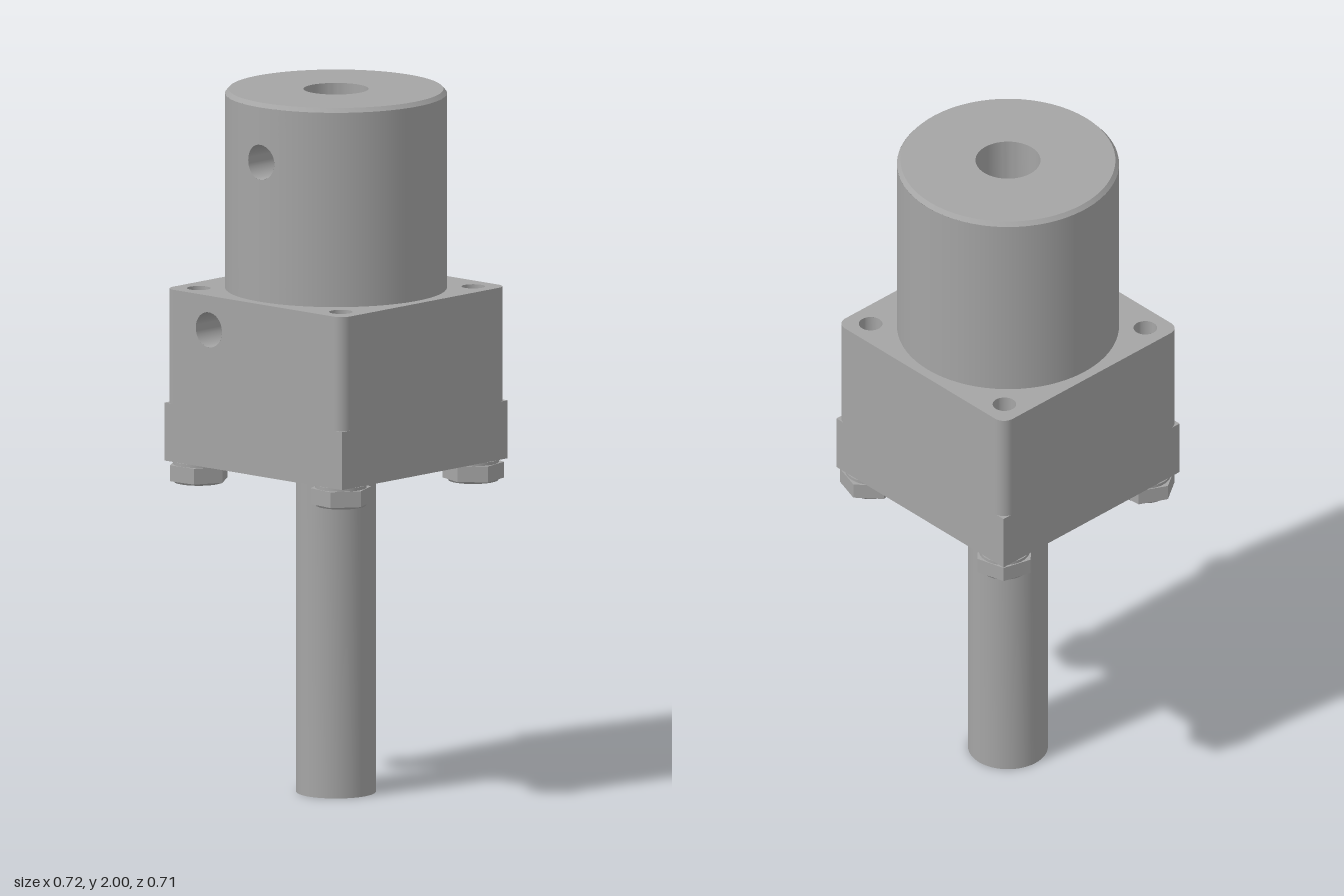
import * as THREE from 'three';
import { toCreasedNormals } from 'three/addons/utils/BufferGeometryUtils.js';

const steel = new THREE.MeshStandardMaterial({ color: 0xa5a5a5, side: THREE.DoubleSide });
steel.name = 'steel grey';

const HALF = 0.34, ROUND = 0.035;            // block half width, upper corner radius
const Y_BASE = 0.945, Y_STEP = 1.11, Y_BLOCK = 1.435, Y_RIM = 1.988, Y_TOP = 2;
const R_HOUSING = 0.311, BOLT = 0.272;

function part(name, geometry, parent) {
  const mesh = new THREE.Mesh(geometry, steel);
  mesh.name = name;
  parent.add(mesh);
  return mesh;
}

function lathe(points, segments = 48) {
  const g = new THREE.LatheGeometry(points.map(([x, y]) => new THREE.Vector2(x, y)), segments);
  return toCreasedNormals(g, 0.5);
}

// Blind bore, open at y = 0 and sunk downwards
const bore = (r, depth) => lathe([[r, 0], [r, -depth], [0, -depth]], 32);

function circle(x, y, r) {
  return new THREE.Path().absarc(x, y, r, 0, Math.PI * 2, true);
}

// Curved wall patch around a round side hole: rings from the hole to a rectangle
function wallPatch(R, angle, y0, y1, holeY, holeR) {
  const N = 64, M = 8, pos = [], nor = [], idx = [];
  for (let j = 0; j <= M; j++) {
    for (let i = 0; i <= N; i++) {
      const a = (i / N) * Math.PI * 2, c = Math.cos(a), s = Math.sin(a);
      const m = Math.max(Math.abs(c), Math.abs(s)), t = j / M;
      const th = THREE.MathUtils.lerp(Math.asin(holeR * c / R), angle * c / m, t);
      const edgeY = (y0 + y1) / 2 + (s / m) * (y1 - y0) / 2;
      pos.push(R * Math.sin(th), THREE.MathUtils.lerp(holeY + holeR * s, edgeY, t), R * Math.cos(th));
      nor.push(Math.sin(th), 0, Math.cos(th));
      if (i < N && j < M) {
        const k = j * (N + 1) + i, n = k + N + 1;
        idx.push(k, n, k + 1, k + 1, n, n + 1);
      }
    }
  }
  const g = new THREE.BufferGeometry();
  g.setAttribute('position', new THREE.Float32BufferAttribute(pos, 3));
  g.setAttribute('normal', new THREE.Float32BufferAttribute(nor, 3));
  g.setIndex(idx);
  return g;
}

function buildHousing() {
  const group = new THREE.Group();
  group.name = 'cylindricalHousing';
  const angle = 0.4, holeY = 1.832, holeR = 0.05, h = Y_RIM - Y_BLOCK;
  // Side wall, with a gap at the front filled by the pierced patch
  const wall = new THREE.CylinderGeometry(R_HOUSING, R_HOUSING, h, 64, 1, true, angle, Math.PI * 2 - 2 * angle);
  part('housingWall', wall, group).position.y = Y_BLOCK + h / 2;
  part('housingFrontWall', wallPatch(R_HOUSING, angle, Y_BLOCK, Y_RIM, holeY, holeR), group);
  // Bevelled rim, top face and central bore
  part('housingTop', lathe([[R_HOUSING, Y_RIM], [R_HOUSING - 0.01, Y_TOP], [0.091, Y_TOP],
    [0.091, 1.6], [0, 1.6]], 64), group);
  // Side hole, its mouth following the curved wall
  const g = bore(holeR, 0.22).rotateX(Math.PI / 2);
  const p = g.attributes.position;
  for (let i = 0; i < p.count; i++) {
    if (p.getZ(i) > -0.01) p.setZ(i, Math.sqrt(R_HOUSING ** 2 - p.getX(i) ** 2) - R_HOUSING);
  }
  part('housingSideHole', g, group).position.set(0, holeY, R_HOUSING);
  return group;
}

function buildBlock() {
  const group = new THREE.Group();
  group.name = 'squareBlock';
  const inner = HALF - ROUND;
  // Four side faces: full width below the step, narrower between rounded corners above
  for (let k = 0; k < 4; k++) {
    const s = new THREE.Shape([[-HALF, Y_BASE], [HALF, Y_BASE], [HALF, Y_STEP], [inner, Y_STEP],
      [inner, Y_BLOCK], [-inner, Y_BLOCK], [-inner, Y_STEP], [-HALF, Y_STEP]]
      .map(([x, y]) => new THREE.Vector2(x, y)));
    if (k === 0) s.holes.push(circle(-0.17, 1.338, 0.05));
    const g = new THREE.ShapeGeometry(s, 32).translate(0, 0, HALF).rotateY(k * Math.PI / 2);
    part('blockSide', g, group);
    const corner = new THREE.CylinderGeometry(ROUND, ROUND, Y_BLOCK - Y_STEP, 10, 1, true, 0, Math.PI / 2)
      .translate(inner, (Y_BLOCK + Y_STEP) / 2, inner).rotateY(k * Math.PI / 2);
    part('roundedCorner', corner, group);
  }
  part('frontPort', bore(0.05, 0.2).rotateX(Math.PI / 2), group).position.set(-0.17, 1.338, HALF);

  // Top face with four screw holes
  const top = new THREE.Shape();
  top.absarc(inner, inner, ROUND, 0, Math.PI / 2);
  top.absarc(-inner, inner, ROUND, Math.PI / 2, Math.PI);
  top.absarc(-inner, -inner, ROUND, Math.PI, Math.PI * 1.5);
  top.absarc(inner, -inner, ROUND, Math.PI * 1.5, Math.PI * 2);
  for (const x of [-BOLT, BOLT]) {
    for (const y of [-BOLT, BOLT]) {
      top.holes.push(circle(x, y, 0.033));
      part('screwHole', bore(0.033, 0.3), group).position.set(x, Y_BLOCK, y);
    }
  }
  part('blockTop', new THREE.ShapeGeometry(top, 32).rotateX(-Math.PI / 2), group).position.y = Y_BLOCK;

  // Corner ledges at the step, and the underside
  const size = HALF * 2;
  part('cornerLedge', new THREE.PlaneGeometry(size, size).rotateX(-Math.PI / 2), group).position.y = Y_STEP;
  part('blockUnderside', new THREE.PlaneGeometry(size, size).rotateX(Math.PI / 2), group).position.y = Y_BASE;
  return group;
}

// Hex bolt head with washer face and turned lower face
function buildBolt(x, z, turn) {
  const group = new THREE.Group();
  group.name = 'hexBolt';
  const ring = (name, rTop, rBottom, y0, y1, sides) => {
    const g = toCreasedNormals(new THREE.CylinderGeometry(rTop, rBottom, y1 - y0, sides), 0.5);
    part(name, g, group).position.y = (y0 + y1) / 2;
  };
  ring('washerFace', 0.072, 0.072, 0.936, Y_BASE, 32);
  ring('hexHead', 0.086, 0.086, 0.891, 0.936, 6);
  ring('headChamfer', 0.074, 0.07, 0.885, 0.891, 32);
  group.position.set(x, 0, z);
  group.rotation.y = THREE.MathUtils.degToRad(30 - turn);
  return group;
}

export function createModel() {
  const model = new THREE.Group();
  model.name = 'shaftMount';
  model.add(buildHousing(), buildBlock());

  // Shaft with a blind bore in its lower end
  part('shaft', lathe([[0, 0.3], [0.052, 0.3], [0.052, 0], [0.112, 0], [0.112, Y_BASE]]), model);

  // Bolt heads under the corners, each turned differently
  const bolts = [[-1, -1, 45], [1, -1, 18], [-1, 1, 56], [1, 1, 6.5]];
  for (const [sx, sz, turn] of bolts) model.add(buildBolt(sx * BOLT, sz * BOLT, turn));
  return model;
}
